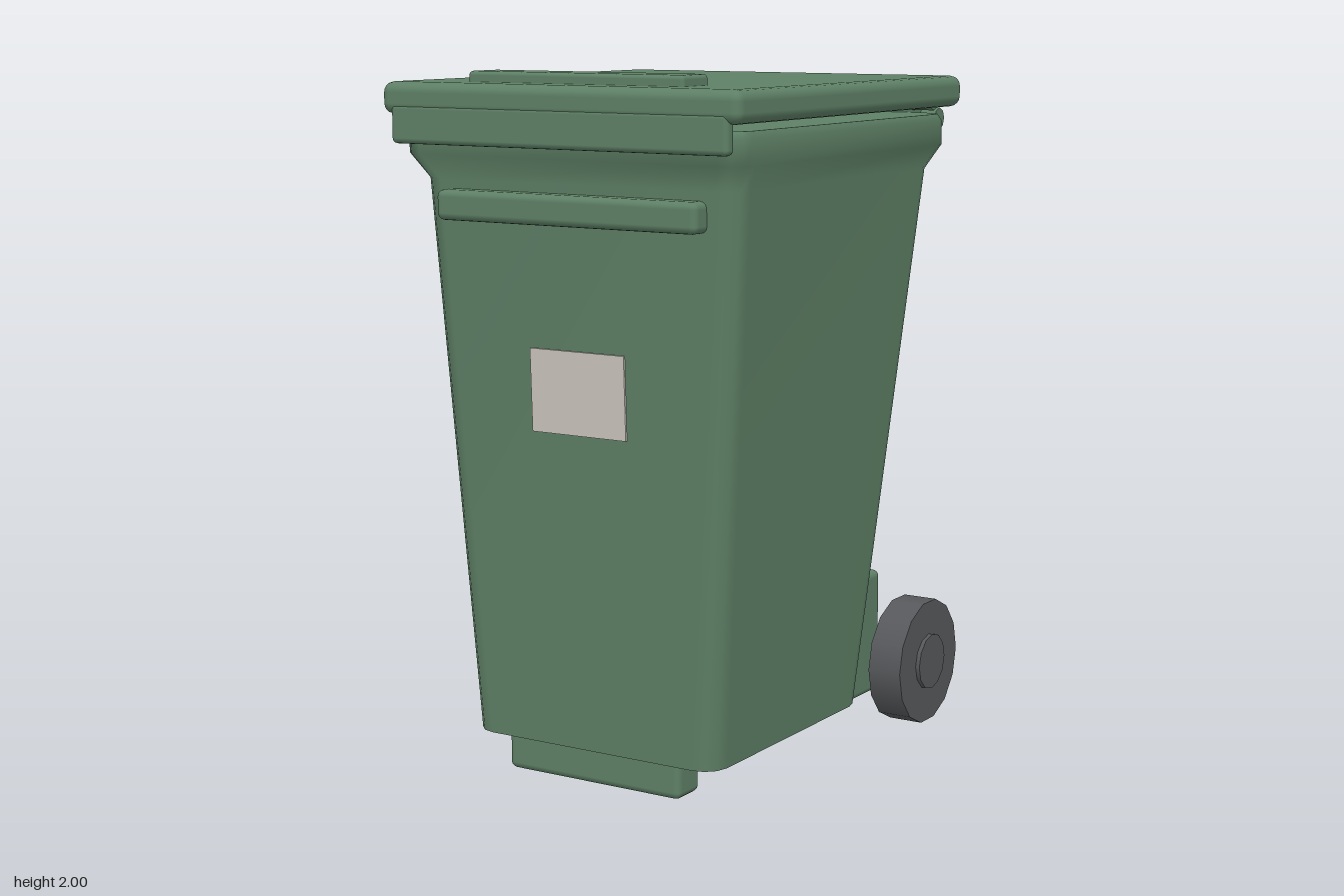
import * as THREE from 'three';
import { RoundedBoxGeometry } from 'three/addons/geometries/RoundedBoxGeometry.js';

const green = new THREE.MeshStandardMaterial({ color: 0x5e8066 });
green.name = 'green plastic';
const rubber = new THREE.MeshStandardMaterial({ color: 0x56585b });
rubber.name = 'dark rubber';
const paper = new THREE.MeshStandardMaterial({ color: 0xcdc6be });
paper.name = 'label paper';

// Body sections: height, half width, front z, back z
const SECTIONS = [
  [0.10, 0.41, 0.54, -0.31],
  [1.70, 0.518, 0.605, -0.52],
  [1.77, 0.555, 0.648, -0.555],
  [1.84, 0.555, 0.655, -0.555],
  [1.86, 0.545, 0.645, -0.545],
];

// Rounded rectangle, running from +x towards +z
function sectionPoints([y, hx, zf, zb]) {
  const r = 0.07, steps = 3, points = [];
  const corners = [[hx - r, zf - r], [-hx + r, zf - r], [-hx + r, zb + r], [hx - r, zb + r]];
  corners.forEach(([cx, cz], k) => {
    for (let i = 0; i <= steps; i++) {
      const a = (k + i / steps) * Math.PI / 2;
      points.push([cx + r * Math.cos(a), y, cz + r * Math.sin(a)]);
    }
  });
  return points;
}

function loftSides() {
  const rings = SECTIONS.map(sectionPoints);
  const n = rings[0].length, index = [];
  for (let j = 0; j < rings.length - 1; j++) {
    for (let i = 0; i < n; i++) {
      const a = j * n + i, b = j * n + (i + 1) % n;
      index.push(a, a + n, b, b, a + n, b + n);
    }
  }
  const geo = new THREE.BufferGeometry();
  geo.setAttribute('position', new THREE.Float32BufferAttribute(rings.flat(2), 3));
  geo.setIndex(index);
  geo.computeVertexNormals();
  return geo;
}

// Flat cap across one section
function cap(section, up) {
  const points = sectionPoints(section), index = [];
  for (let i = 1; i < points.length - 1; i++) {
    index.push(0, ...(up ? [i + 1, i] : [i, i + 1]));
  }
  const geo = new THREE.BufferGeometry();
  geo.setAttribute('position', new THREE.Float32BufferAttribute(points.flat(), 3));
  geo.setIndex(index);
  geo.computeVertexNormals();
  return geo;
}

export function createModel() {
  const bin = new THREE.Group();
  bin.name = 'wheelieBin';

  const add = (name, geo, material, x = 0, y = 0, z = 0) => {
    const mesh = new THREE.Mesh(geo, material);
    mesh.name = name;
    mesh.position.set(x, y, z);
    bin.add(mesh);
    return mesh;
  };
  // Rounded box given by its extents
  const block = (name, [x0, x1], [y0, y1], [z0, z1], r) =>
    add(name, new RoundedBoxGeometry(x1 - x0, y1 - y0, z1 - z0, 2, r), green,
      (x0 + x1) / 2, (y0 + y1) / 2, (z0 + z1) / 2);
  // Cylinder lying along x
  const bar = (name, r, length, sides, material, x, y, z) =>
    add(name, new THREE.CylinderGeometry(r, r, length, sides).rotateZ(Math.PI / 2), material, x, y, z);

  // Tapered body with flared rim
  add('bodySides', loftSides(), green);
  add('bodyBase', cap(SECTIONS[0], false), green);
  add('bodyTop', cap(SECTIONS[SECTIONS.length - 1], true), green);

  // Lid
  block('lid', [-0.58, 0.58], [1.88, 1.97], [-0.59, 0.70], 0.03);
  block('lidSkirt', [-0.545, 0.545], [1.80, 1.91], [0.66, 0.70], 0.015);
  block('lidGrip', [-0.35, 0.35], [1.955, 2.0], [0.47, 0.60], 0.012);

  // Front ridge, foot and label
  block('frontRidge', [-0.425, 0.425], [1.59, 1.675], [0.58, 0.66], 0.02);
  block('frontFoot', [-0.29, 0.29], [0, 0.14], [0.415, 0.53], 0.02);
  const label = add('label', new THREE.BoxGeometry(0.31, 0.235, 0.008), paper, 0, 1.127, 0.584);
  label.rotation.x = Math.atan2(0.065, 1.6);

  // Rear hinge and push handle
  bar('hingeRod', 0.025, 0.97, 8, green, 0, 1.89, -0.59);
  bar('pushHandle', 0.032, 0.93, 8, green, 0, 1.838, -0.667);
  for (const s of [-1, 1]) {
    block('handleBracket', [s * 0.367 - 0.047, s * 0.367 + 0.047], [1.73, 1.90], [-0.685, -0.53], 0.02);
  }

  // Axle housing, axle and wheels
  block('axleHousing', [-0.37, 0.37], [0.085, 0.465], [-0.505, -0.29], 0.02);
  bar('axle', 0.025, 1.0, 10, rubber, 0, 0.2, -0.5);
  for (const s of [-1, 1]) {
    bar('wheel', 0.19, 0.105, 14, rubber, s * 0.488, 0.2, -0.5);
    bar('wheelHub', 0.085, 0.13, 12, rubber, s * 0.488, 0.2, -0.5);
  }
  return bin;
}
